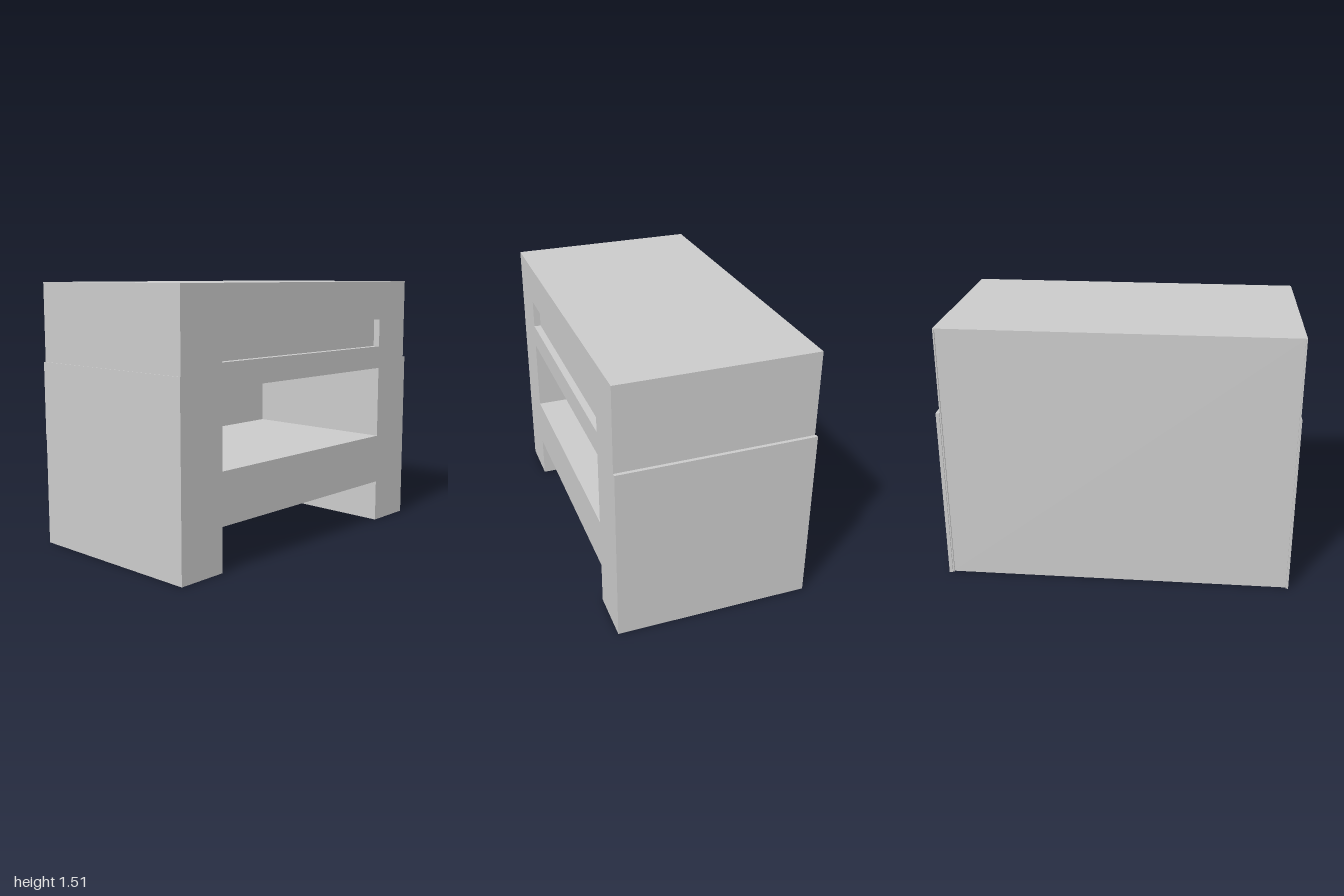
import * as THREE from 'three';

const X0 = -0.995, X1 = 0.98, TOP = 1.51;   // cabinet extents
const FRONT = 0.56, CAVITY = -0.4, BACK = -0.54, LIP = -0.55;
const IN = 0.705;                           // half width of the openings

export function createModel() {
  const group = new THREE.Group();
  const mat = new THREE.MeshStandardMaterial({ color: 0xcccccc });

  const add = (name, geo) => {
    const mesh = new THREE.Mesh(geo, mat);
    mesh.name = name;
    group.add(mesh);
    return mesh;
  };
  // box given by its min and max corners
  const box = (name, x0, x1, y0, y1, z0, z1) =>
    add(name, new THREE.BoxGeometry(x1 - x0, y1 - y0, z1 - z0))
      .position.set((x0 + x1) / 2, (y0 + y1) / 2, (z0 + z1) / 2);
  const opening = (y0, y1) => new THREE.Path([
    [-IN, y0], [-IN, y1], [IN, y1], [IN, y0],
  ].map(([x, y]) => new THREE.Vector2(x, y)));

  // cabinet body: two feet, an open shelf and a drawer slot
  const outline = new THREE.Shape([
    [X0, 0], [-IN, 0], [-IN, 0.25], [IN, 0.25], [IN, 0],
    [X1, 0], [X1, TOP], [X0, TOP],
  ].map(([x, y]) => new THREE.Vector2(x, y)));
  outline.holes.push(opening(0.545, 0.975), opening(1.11, 1.277));
  add('cabinetBody', new THREE.ExtrudeGeometry(outline, {
    depth: FRONT - CAVITY, bevelEnabled: false,
  })).position.z = CAVITY;

  // recessed drawer front filling the slot
  box('drawer', -IN, IN, 1.11, 1.277, CAVITY, FRONT - 0.04);

  // back wall, with thin lips of the top and sides standing behind it
  box('backWall', X0, X1, 0, TOP, BACK, CAVITY);
  box('topLip', X0, X1, TOP - 0.008, TOP, LIP, BACK);
  for (const [name, x] of [['rightLip', X0], ['leftLip', X1 - 0.008]])
    box(name, x, x + 0.008, 0, TOP - 0.008, LIP, BACK);

  // lower side panels
  box('leftSidePanel', X1, 1, 0, 1.025, -0.557, FRONT);
  box('rightSidePanel', -1, X0, 0, 0.61, -0.556, FRONT);
  box('rightSidePanelUpper', -1, X0, 0.61, 1.06, -0.56, FRONT);

  return group;
}
